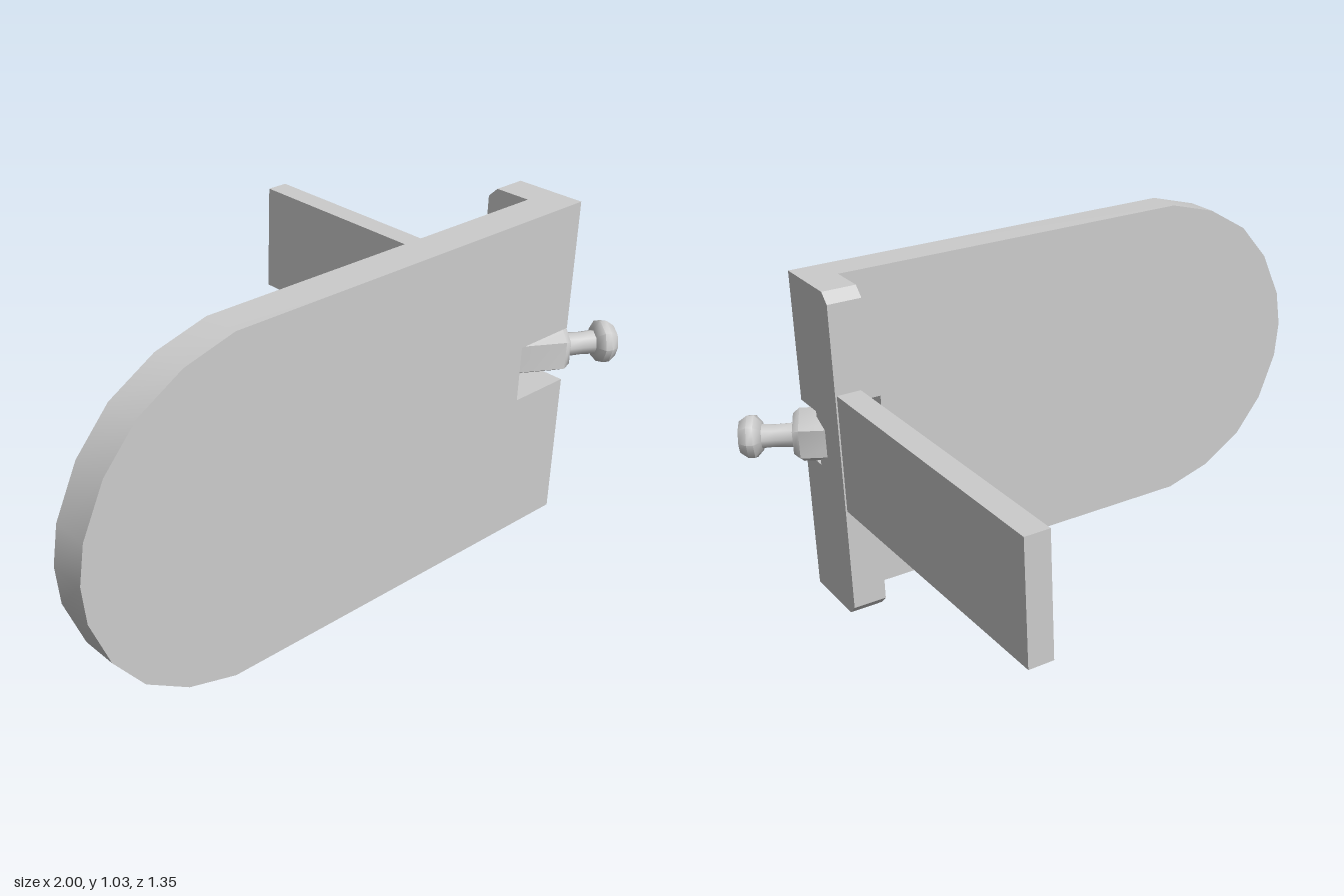
import * as THREE from 'three';
import { toCreasedNormals } from 'three/addons/utils/BufferGeometryUtils.js';

const H = 1.035;              // plate height
const SLOT = [0.455, 0.63];   // slot bottom and top
const FRONT = 0.585;          // front face of the plate

export function createModel() {
  const group = new THREE.Group();
  const material = new THREE.MeshStandardMaterial({ color: 0xcccccc });

  const add = (name, geometry, crease = 0.6) => {
    const mesh = new THREE.Mesh(toCreasedNormals(geometry, crease), material);
    mesh.name = name;
    group.add(mesh);
    return mesh;
  };
  const extrude = (points, depth) => new THREE.ExtrudeGeometry(
    new THREE.Shape(points.map(([x, y]) => new THREE.Vector2(x, y))),
    { depth, bevelEnabled: false });

  // Flat plate: faceted round end on the right, slot open towards the hinge edge
  const arc = [[-0.52, 0], [-0.68, 0.045], [-0.82, 0.13], [-0.92, 0.25], [-0.985, 0.4]];
  const upperArc = arc.map(([x, y]) => [x, H - y]);
  const plate = extrude([
    ...arc.slice().reverse(), [0.68, 0], [0.68, SLOT[0]], [0.578, SLOT[0]],
    [0.578, SLOT[1]], [0.68, SLOT[1]], [0.68, H], ...upperArc, [-1, H / 2],
  ], 0.11);
  plate.translate(0, 0, FRONT - 0.11);
  add('plate', plate);

  // Upright flange along the straight edge, chamfered at the back and notched for the pin
  const flange = extrude([
    [0.36, 0], [FRONT, 0], [FRONT, SLOT[0]], [0.48, SLOT[0]], [0.48, SLOT[1]],
    [FRONT, SLOT[1]], [FRONT, H], [0.36, H], [0.33, H - 0.03], [0.33, 0.03],
  ], 0.105);
  flange.rotateY(-Math.PI / 2).translate(0.785, 0, 0);
  add('flange', flange);

  // Arm reaching backwards from the flange
  const arm = new THREE.BoxGeometry(0.075, 0.37, 1.03);
  arm.translate(0.7425, 0.545, -0.165);
  add('arm', arm);

  // Pin parts are turned about one axis that leans 30 degrees out of the plate
  const turned = (name, profile, sides) => {
    const geometry = new THREE.LatheGeometry(
      profile.map(([r, t]) => new THREE.Vector2(r, t)), sides);
    geometry.rotateX(Math.PI / 2).rotateY(Math.PI / 3).translate(0.62, 0.543, 0.42);
    add(name, geometry, 0.9);
  };
  turned('pinBarrel', [[0, 0], [0.0875, 0], [0.0875, 0.225], [0.07, 0.245], [0, 0.245]], 6);
  turned('pinNeck', [[0.04, 0.23], [0.036, 0.3], [0.04, 0.36]], 8);
  turned('pinHead', [[0, 0.34], [0.045, 0.34], [0.068, 0.36], [0.068, 0.38], [0.05, 0.405], [0, 0.41]], 8);

  return group;
}
